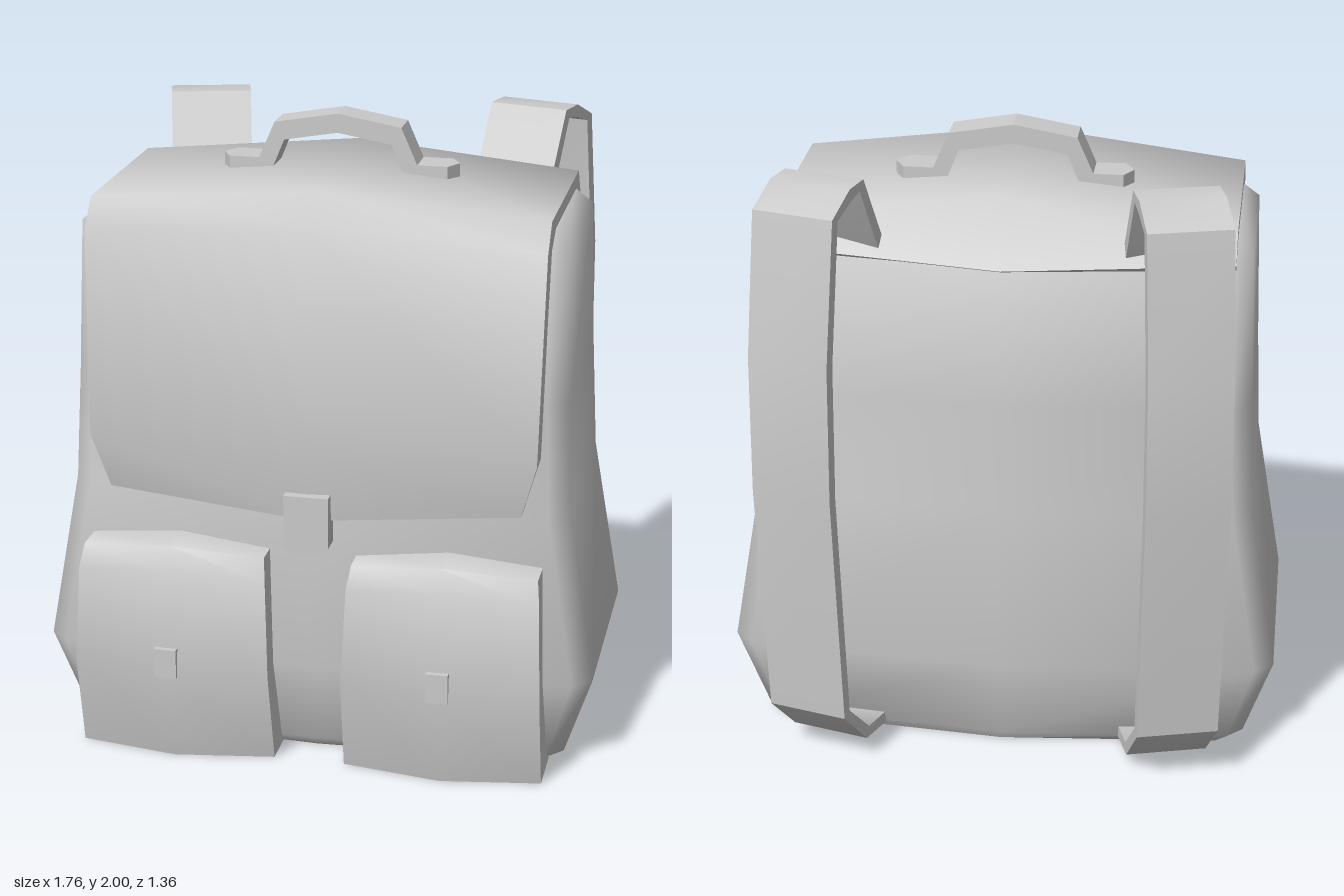
import * as THREE from 'three';
import { toCreasedNormals } from 'three/addons/utils/BufferGeometryUtils.js';

const material = new THREE.MeshStandardMaterial({ color: 0xcccccc, side: THREE.DoubleSide });

function mesh(name, geometry, crease = 1.1) {
  const m = new THREE.Mesh(toCreasedNormals(geometry, crease), material);
  m.name = name;
  return m;
}

// Skin closed rings of [x, y, z] points and cap both ends with a strip
function loft(rings) {
  const n = rings[0].length;
  const index = [];
  const quad = (a, b, c, d) => index.push(a, b, c, a, c, d);
  for (let i = 0; i < rings.length - 1; i++) {
    for (let j = 0; j < n; j++) {
      const k = (j + 1) % n;
      quad(i * n + j, i * n + k, (i + 1) * n + k, (i + 1) * n + j);
    }
  }
  const last = (rings.length - 1) * n;
  for (let j = 0; j < n / 2 - 1; j++) {
    quad(n - 1 - j, n - 2 - j, j + 1, j);
    quad(last + j, last + j + 1, last + n - 2 - j, last + n - 1 - j);
  }
  const g = new THREE.BufferGeometry();
  g.setAttribute('position', new THREE.Float32BufferAttribute(rings.flat(2), 3));
  g.setIndex(index);
  return g;
}

// Loft sideways through edge, centre and edge profiles of [z, y] points
function bulgedPanel(centre, edge, halfWidths) {
  const side = (s) => edge.map(([z, y], i) => [s * halfWidths[i], y, z]);
  return loft([side(-1), centre.map(([z, y]) => [0, y, z]), side(1)]);
}

// Extrude a polygon along z, centred on zero
function slab(points, depth) {
  const shape = new THREE.Shape(points.map(([x, y]) => new THREE.Vector2(x, y)));
  return new THREE.ExtrudeGeometry(shape, { depth, bevelEnabled: false }).translate(0, 0, -depth / 2);
}

function bodyRing([y, hx, front, back, c]) {
  const half = [[hx - c, y, front], [hx, y, front - c], [hx, y, back + c], [hx - c, y, back]];
  const mirrored = half.map(([x, h, z]) => [-x, h, z]).reverse();
  return [[0, y, front + 0.03], ...half, [0, y, back - 0.06], ...mirrored];
}

// Band of constant thickness along an open path
function band(path, thickness) {
  const pts = path.map(([x, y]) => new THREE.Vector2(x, y));
  const inner = pts.map((p, i) => {
    const a = pts[Math.max(i - 1, 0)], b = pts[Math.min(i + 1, pts.length - 1)];
    const d = b.clone().sub(a).normalize();
    return [p.x + d.y * thickness, p.y - d.x * thickness];
  });
  return [...path, ...inner.reverse()];
}

export function createModel() {
  const pack = new THREE.Group();
  pack.name = 'backpack';

  // Main bag: height, half width, front, back, corner chamfer
  const levels = [
    [0, 0.75, 0.40, -0.28, 0.05],
    [0.03, 0.79, 0.42, -0.295, 0.05],
    [0.31, 0.88, 0.485, -0.35, 0.06],
    [0.85, 0.79, 0.445, -0.315, 0.06],
    [1.2, 0.775, 0.425, -0.29, 0.06],
    [1.68, 0.76, 0.40, -0.26, 0.06],
    [1.74, 0.70, 0.35, -0.21, 0.05],
  ];
  pack.add(mesh('body', loft(levels.map(bodyRing))));

  // Lid wrapping over the top and down the front
  const lidCentre = [
    [-0.34, 1.65], [-0.22, 1.845], [0.455, 1.845], [0.525, 1.75], [0.562, 1.04], [0.545, 0.82],
    [0.44, 0.82], [0.44, 1.04], [0.42, 1.70], [0.38, 1.75], [-0.20, 1.75], [-0.30, 1.63],
  ];
  const lidEdge = [
    [-0.29, 1.68], [-0.22, 1.775], [0.40, 1.775], [0.475, 1.69], [0.52, 1.04], [0.48, 0.86],
    [0.42, 0.86], [0.41, 1.04], [0.38, 1.66], [0.36, 1.70], [-0.20, 1.70], [-0.25, 1.65],
  ];
  const lidWidths = [0.71, 0.71, 0.71, 0.71, 0.70, 0.65];
  pack.add(mesh('lid', bulgedPanel(lidCentre, lidEdge, [...lidWidths, ...[...lidWidths].reverse()])));

  // Clasp at the lid's lower edge
  const clasp = mesh('clasp', slab([
    [-0.07, 0.91], [-0.07, 0.745], [-0.04, 0.717], [0.04, 0.717], [0.07, 0.745], [0.07, 0.91],
  ], 0.07));
  clasp.position.z = 0.545;
  pack.add(clasp);

  // Carrying handle with pointed feet
  const handle = new THREE.Group();
  handle.name = 'handle';
  handle.position.z = 0.06;
  handle.add(mesh('grip', slab([
    [0, 2], [-0.2, 1.965], [-0.255, 1.84], [-0.255, 1.80], [-0.215, 1.80], [-0.17, 1.91], [0, 1.94],
    [0.17, 1.91], [0.215, 1.80], [0.255, 1.80], [0.255, 1.84], [0.2, 1.965],
  ], 0.11), 0.3));
  for (const s of [-1, 1]) {
    const foot = mesh('handleFoot', slab([
      [0.22, -0.055], [0.345, -0.055], [0.375, 0], [0.345, 0.055], [0.22, 0.055],
    ], 0.06), 0.3);
    foot.rotation.set(-Math.PI / 2, 0, s < 0 ? Math.PI : 0);
    foot.position.y = 1.82;
    handle.add(foot);
  }
  pack.add(handle);

  const pocketCentre = [[0.42, 0.72], [0.60, 0.72], [0.64, 0.65], [0.675, 0.31], [0.60, 0], [0.38, 0]];
  const pocketEdge = [[0.42, 0.69], [0.56, 0.69], [0.595, 0.62], [0.62, 0.31], [0.55, 0], [0.38, 0]];
  const pocketWidths = [0.29, 0.29, 0.30, 0.312, 0.315, 0.315];

  // Strap centre line as [distance behind the lid, height]
  const strapPath = [
    [-0.03, 1.70], [0.01, 1.77], [0.105, 1.945], [0.20, 1.945], [0.325, 1.89],
    [0.395, 1.44], [0.405, 1.0], [0.35, 0.21], [0.19, 0.045], [0.03, 0.02],
  ];
  const strapShape = band(strapPath, 0.04);

  for (const s of [-1, 1]) {
    const label = s > 0 ? 'left' : 'right';

    // Front pocket and its tab
    const pocket = mesh(label + 'Pocket', bulgedPanel(pocketCentre, pocketEdge, pocketWidths));
    pocket.position.x = s * 0.428;
    const tab = mesh(label + 'PocketTab', new THREE.BoxGeometry(0.07, 0.095, 0.04));
    tab.position.set(s * 0.43, 0.355, 0.661);
    pack.add(pocket, tab);

    // Shoulder strap, splayed outwards
    const strap = mesh(label + 'Strap', slab(strapShape, 0.26), 0.7);
    strap.position.set(s * 0.5, 0, -0.25);
    strap.rotation.y = Math.PI / 2 - s * 0.262;
    pack.add(strap);
  }
  return pack;
}
